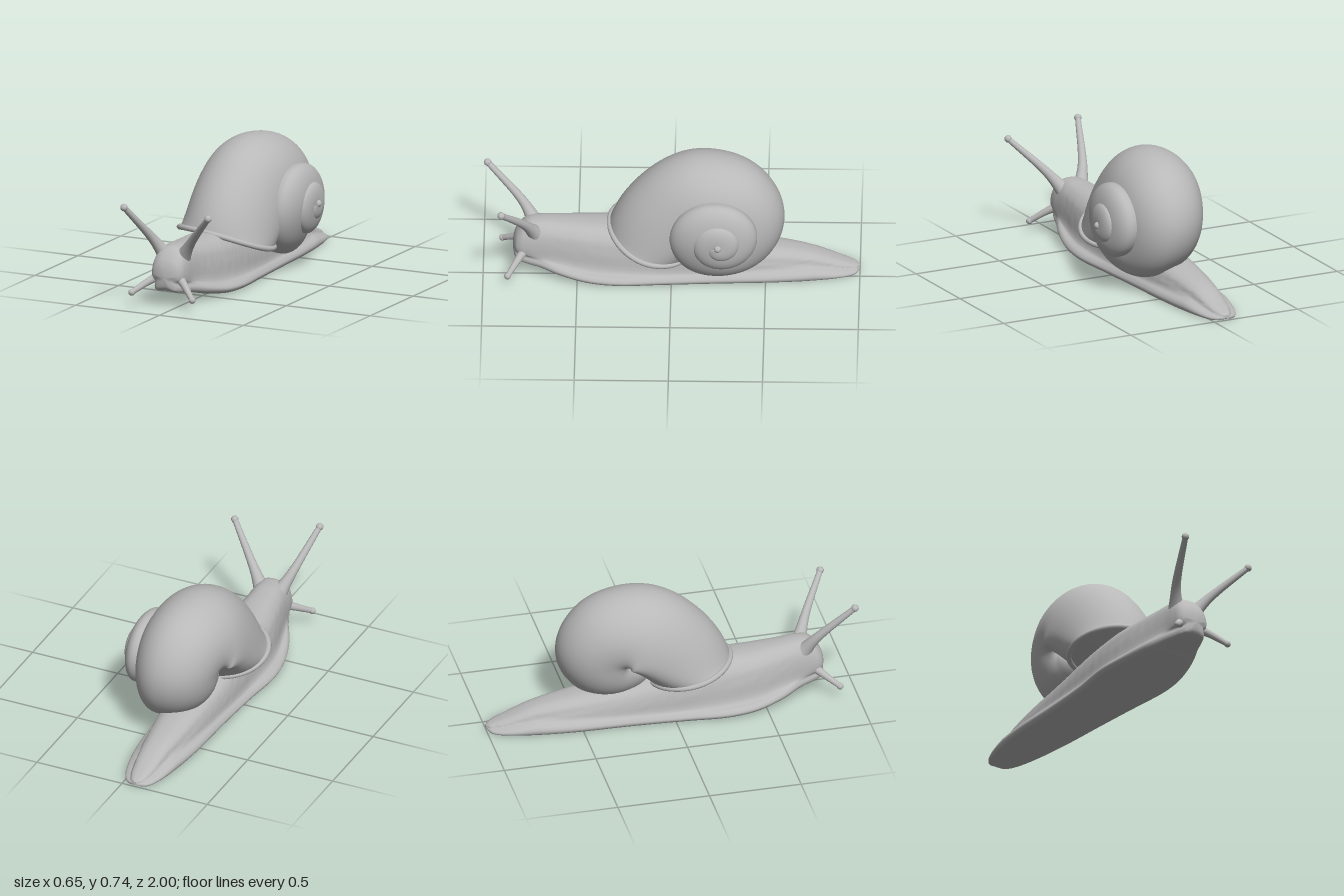
import * as THREE from 'three';

const skin = new THREE.MeshStandardMaterial({ color: 0xb8b8b8 });
skin.name = 'plain grey';

const V = (x, y, z) => new THREE.Vector3(x, y, z);
const lerp = THREE.MathUtils.lerp;

// Smooth lookup in a table of [position, ...values] rows
function lookup(rows) {
  const size = rows[0].length - 1;
  const interpolant = new THREE.CubicInterpolant(
    rows.map(r => r[0]), rows.flatMap(r => r.slice(1)), size, new Float32Array(size));
  return t => Array.from(interpolant.evaluate(t));
}

// Closed rings joined into a skin, with flat end caps facing outwards
function loft(rings) {
  const n = rings[0].length, m = rings.length;
  const points = rings.flat(), index = [];
  for (let i = 0; i < m - 1; i++) for (let j = 0; j < n; j++) {
    const a = i * n + j, b = i * n + (j + 1) % n, c = a + n, d = b + n;
    index.push(a, b, c, b, d, c);
  }
  [rings[0], rings[m - 1]].forEach((ring, end) => {
    const centre = ring.reduce((s, p) => s.add(p), V(0, 0, 0)).divideScalar(n);
    const first = points.length;
    points.push(...ring, centre);
    for (let j = 0; j < n; j++) {
      const a = first + j, b = first + (j + 1) % n;
      if (end) index.push(a, b, first + n); else index.push(b, a, first + n);
    }
  });
  // turn the faces outwards when the enclosed volume is negative
  let volume = 0;
  const cross = V(0, 0, 0);
  for (let i = 0; i < index.length; i += 3) {
    volume += cross.crossVectors(points[index[i + 1]], points[index[i + 2]]).dot(points[index[i]]);
  }
  if (volume < 0) index.reverse();
  const g = new THREE.BufferGeometry().setFromPoints(points);
  g.setIndex(index);
  g.computeVertexNormals();
  return g;
}

function add(group, name, geometry) {
  const mesh = new THREE.Mesh(geometry, skin);
  mesh.name = name;
  group.add(mesh);
  return mesh;
}

// Body and foot: z, centre x, foot half width, sole y, back half width, top y
const bodyAt = lookup([
  [-1, -0.075, 0.012, 0.01, 0.008, 0.028],
  [-0.985, -0.075, 0.048, 0.003, 0.03, 0.038],
  [-0.96, -0.075, 0.072, 0, 0.045, 0.048],
  [-0.9, -0.075, 0.1, 0, 0.062, 0.07],
  [-0.75, -0.075, 0.133, 0, 0.085, 0.125],
  [-0.55, -0.075, 0.156, 0, 0.11, 0.165],
  [-0.25, -0.072, 0.17, 0, 0.135, 0.21],
  [0.05, -0.072, 0.19, 0, 0.15, 0.27],
  [0.3, -0.074, 0.215, 0.006, 0.15, 0.3],
  [0.45, -0.072, 0.2, 0.016, 0.138, 0.306],
  [0.6, -0.065, 0.16, 0.045, 0.115, 0.316],
  [0.7, -0.058, 0.115, 0.07, 0.102, 0.322],
  [0.77, -0.055, 0.088, 0.08, 0.096, 0.31],
  [0.81, -0.055, 0.07, 0.088, 0.086, 0.27],
  [0.83, -0.055, 0.05, 0.1, 0.065, 0.235],
  [0.84, -0.055, 0.02, 0.125, 0.03, 0.2],
  [0.843, -0.055, 0.005, 0.15, 0.006, 0.175]]);

function bodyRing(z) {
  const [cx, foot, sole, back, top] = bodyAt(z);
  const h = top - sole, rim = Math.min(0.05, h * 0.4);
  const half = [
    [foot * 0.9, sole], [foot, sole + rim * 0.45], [foot * 0.94, sole + rim * 0.9],
    [lerp(foot, back, 0.75), sole + rim * 1.25], [back, sole + h * 0.55],
    [back * 0.85, sole + h * 0.8], [back * 0.5, sole + h * 0.96]];
  const outline = [[0, sole], ...half, [0, top], ...half.map(([x, y]) => [-x, y]).reverse()];
  const curve = new THREE.CatmullRomCurve3(outline.map(([x, y]) => V(cx + x, Math.max(0, y), z)), true);
  return Array.from({ length: 64 }, (_, i) => {
    const p = curve.getPoint(i / 64);
    // fine wrinkles on the flanks
    const flank = Math.max(0, Math.sin(Math.PI * (p.y - sole - rim) / (h - rim))) * (z < 0.65 ? 1 : 0);
    if (p.y > sole + rim) {
      p.x += Math.sign(p.x - cx) * flank * 0.0012 * Math.sin(z * 83 + 4 * Math.sin(p.y * 70 + z * 31));
    }
    p.y = Math.max(0, p.y);
    return p;
  });
}

// Shell coil: angle from front over the top, outer radius, inner-side x, crest x, spire-side x
const coilAt = lookup([
  [-8, 0.585, -0.315, -0.06, 0.195], [11, 0.525, -0.312, -0.056, 0.2],
  [37, 0.45, -0.308, -0.054, 0.2], [85, 0.369, -0.288, -0.042, 0.2],
  [135, 0.352, -0.262, -0.02, 0.2], [180, 0.35, -0.24, 0, 0.2],
  [225, 0.325, -0.225, 0.045, 0.21], [270, 0.288, -0.205, 0.1, 0.24],
  [315, 0.272, -0.18, 0.15, 0.265], [360, 0.258, -0.08, 0.185, 0.28],
  [450, 0.214, 0.05, 0.2, 0.283], [540, 0.208, 0.08, 0.205, 0.285],
  [630, 0.165, 0.1, 0.235, 0.297], [720, 0.13, 0.12, 0.262, 0.305],
  [900, 0.11, 0.15, 0.275, 0.31], [1080, 0.05, 0.18, 0.29, 0.314]]);
const axisY = 0.37, axisZ = -0.25;

function coilRing(angle) {
  const [R, x0, crest, x1] = coilAt(angle);
  const open = Math.pow(THREE.MathUtils.clamp((80 - angle) / 88, 0, 1), 3);
  const mid = lerp(0.25, 0.5, open), power = lerp(0.06, 0.8, open);
  const a = THREE.MathUtils.degToRad(angle);
  return Array.from({ length: 56 }, (_, i) => {
    const f = (i + 0.5) / 56 * Math.PI * 2, c = Math.cos(f), s = Math.sin(f);
    const r = mid + (c > 0 ? 1 - mid : mid) * c;
    const side = c > 0 ? s : Math.sign(s) * Math.pow(Math.abs(s), power);
    const x = crest + side * (s > 0 ? x1 - crest : crest - x0);
    // the last stretch bends into the slanting mouth
    const y = lerp(axisY + r * R * Math.sin(a), 0.3 - 0.1 * (1 - r * r) - 0.13 * (x + 0.06), open);
    const z = lerp(axisZ + r * R * Math.cos(a), 0.33 - 0.45 * (1 - r), open);
    return V(x, y, z);
  });
}

// Tapering feeler with a flared root and a round tip
function feeler(group, name, path, root, tip, bulb) {
  const curve = new THREE.CatmullRomCurve3(path.map(p => V(...p)));
  const steps = 24, frames = curve.computeFrenetFrames(steps);
  const rings = Array.from({ length: steps + 1 }, (_, i) => {
    const t = i / steps, p = curve.getPointAt(t);
    const r = lerp(root * 0.6, tip, t) + root * 0.5 * Math.pow(1 - t, 6);
    return Array.from({ length: 20 }, (_, j) => {
      const f = j / 20 * Math.PI * 2;
      return p.clone().addScaledVector(frames.normals[i], r * Math.cos(f))
        .addScaledVector(frames.binormals[i], r * Math.sin(f));
    });
  });
  const g = new THREE.Group();
  g.name = name;
  add(g, name + 'Stalk', loft(rings));
  add(g, name + 'Tip', new THREE.SphereGeometry(bulb, 20, 14)).position.set(...path[path.length - 1]);
  group.add(g);
}

export function createModel() {
  const model = new THREE.Group();
  model.name = 'snail';

  // Sections crowd together towards the rounded head and tail
  add(model, 'body', loft(Array.from({ length: 181 }, (_, i) =>
    bodyRing(-1 + 1.843 * (1 - Math.cos(Math.PI * i / 180)) / 2))));

  // Shell with spire, tip and rolled lip
  const shell = new THREE.Group();
  shell.name = 'shell';
  const rings = Array.from({ length: 273 }, (_, i) => coilRing(1080 - 4 * i));
  add(shell, 'coil', loft(rings));
  add(shell, 'spireTip', new THREE.SphereGeometry(0.02, 20, 14)).position.set(0.305, axisY + 0.005, axisZ);
  const lipCurve = new THREE.CatmullRomCurve3(rings[rings.length - 1], true);
  add(shell, 'lip', new THREE.TubeGeometry(lipCurve, 120, 0.015, 12, true));
  model.add(shell);

  // Eye stalks and lower feelers
  feeler(model, 'rightEyeStalk', [[-0.1, 0.25, 0.72], [-0.15, 0.36, 0.79], [-0.222, 0.56, 0.98]], 0.046, 0.015, 0.02);
  feeler(model, 'leftEyeStalk', [[-0.01, 0.25, 0.72], [0.08, 0.365, 0.78], [0.238, 0.53, 0.9]], 0.046, 0.015, 0.02);
  feeler(model, 'rightFeeler', [[-0.09, 0.17, 0.76], [-0.15, 0.135, 0.815], [-0.217, 0.08, 0.9]], 0.04, 0.014, 0.018);
  feeler(model, 'leftFeeler', [[-0.02, 0.17, 0.76], [0.05, 0.128, 0.81], [0.127, 0.067, 0.868]], 0.04, 0.014, 0.018);

  return model;
}
